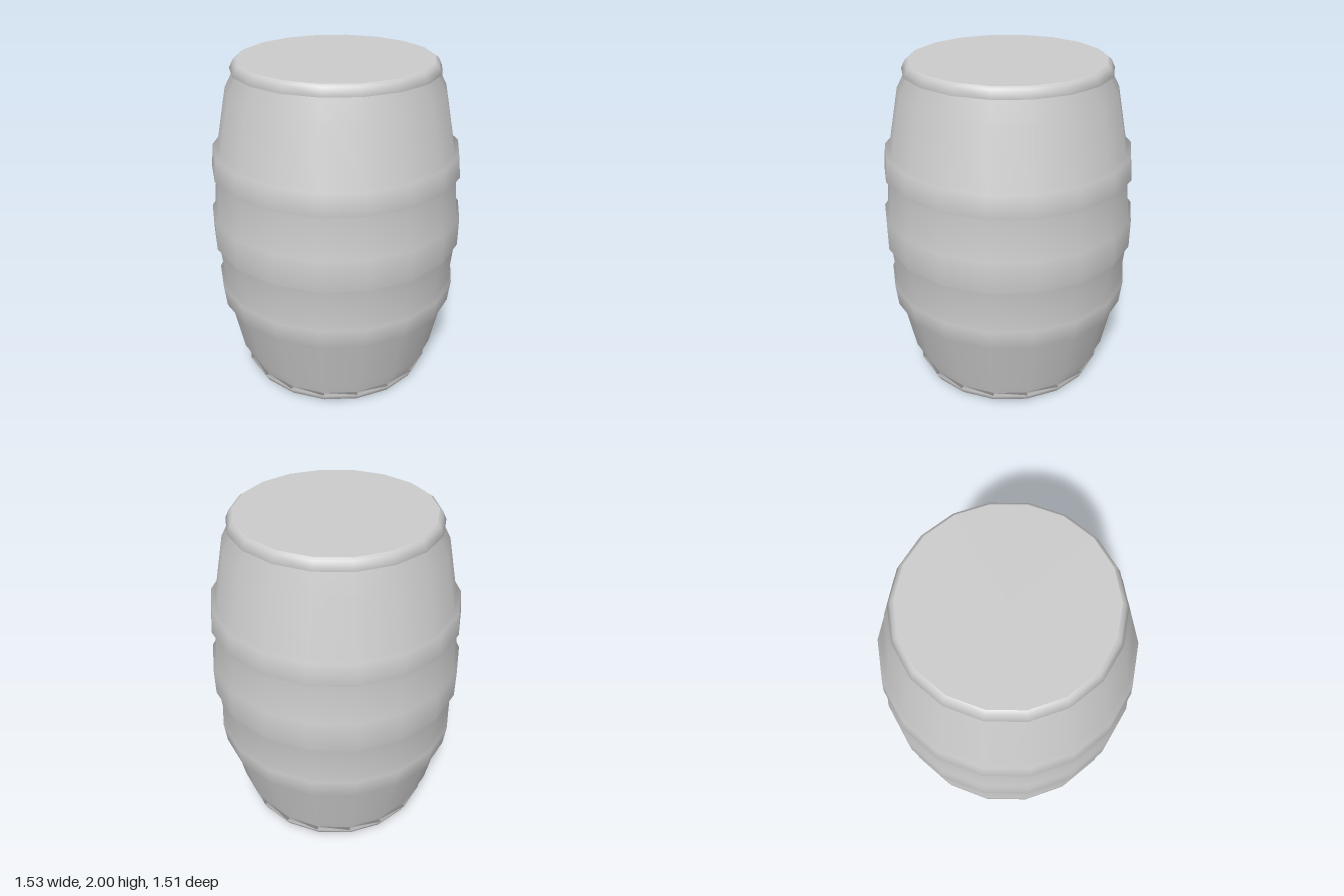
import * as THREE from 'three';

const SIDES = 18;
const HEAD_RADIUS = 0.565;

// Upper half of the barrel profile as [radius, height above the middle]
const HALF_PROFILE = [
  [0.765, 0.085], [0.747, 0.09],                                  // middle hoop
  [0.725, 0.35], [0.748, 0.352], [0.733, 0.488], [0.705, 0.493],  // upper hoop
  [0.638, 0.83], [0.58, 0.94],                                    // tapering staves
  [0.605, 0.942], [0.583, 0.988], [HEAD_RADIUS, 1],               // end rim
];

export function createModel() {
  const barrel = new THREE.Group();
  barrel.name = 'barrel';
  const material = new THREE.MeshStandardMaterial({ color: 0xcccccc });

  // Staves and hoops: the half profile mirrored about the middle, then turned
  const upper = HALF_PROFILE.map(([r, h]) => new THREE.Vector2(r, 1 + h));
  const lower = HALF_PROFILE.map(([r, h]) => new THREE.Vector2(r, 1 - h)).reverse();
  const shell = new THREE.Mesh(
    new THREE.LatheGeometry([...lower, ...upper], SIDES, Math.PI / 2),
    material
  );
  shell.name = 'stavesAndHoops';
  barrel.add(shell);

  // Flat heads closing both ends
  for (const [name, y, tilt] of [['topHead', 2, -1], ['bottomHead', 0, 1]]) {
    const head = new THREE.Mesh(new THREE.CircleGeometry(HEAD_RADIUS, SIDES), material);
    head.name = name;
    head.rotation.x = tilt * Math.PI / 2;
    head.position.y = y;
    barrel.add(head);
  }
  return barrel;
}
